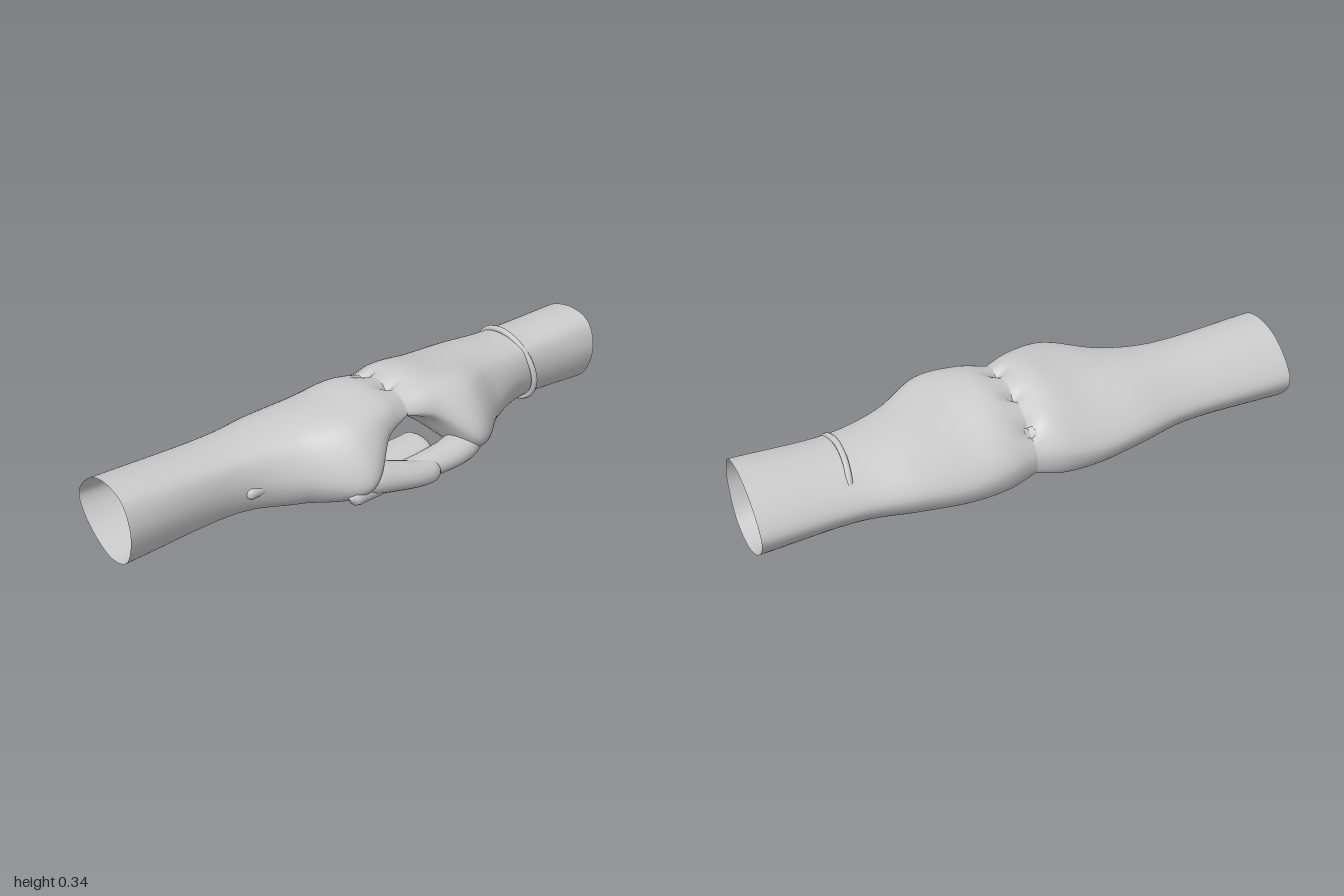
import * as THREE from 'three';

const MEET = 0.04; // x where the knuckles of both hands touch
const RING = 96, STEPS = 64;

// Cross-sections: distance from the knuckles, then eight [z, y] points
// (front, front top, top, back top, back, back bottom, bottom, front bottom)
const SECTIONS = [
  [0.00, [[.155, .26], [.12, .305], [.03, .325], [-.13, .29], [-.26, .17], [-.25, .09], [-.10, .19], [.08, .23]]],
  [0.10, [[.19, .235], [.165, .305], [.05, .34], [-.13, .31], [-.285, .16], [-.255, .06], [-.10, .13], [.11, .19]]],
  [0.24, [[.28, .13], [.18, .30], [.04, .325], [-.15, .285], [-.293, .14], [-.25, .05], [-.07, .07], [.18, .05]]],
  [0.42, [[.165, .14], [.10, .27], [0, .30], [-.15, .275], [-.28, .15], [-.23, .06], [-.07, .055], [.10, .04]]],
  [0.61, [[.09, .16], [.06, .255], [-.03, .285], [-.15, .26], [-.25, .15], [-.20, .07], [-.07, .04], [.05, .06]]],
  [1.00, [[.09, .17], [.055, .27], [-.03, .297], [-.15, .265], [-.25, .15], [-.20, .06], [-.07, .002], [.04, .04]]],
];
const NOTCHES = [-0.20, -0.085, 0.04]; // valleys between the knuckles

const skin = new THREE.MeshStandardMaterial({ color: 0xcccccc, roughness: 0.8, side: THREE.DoubleSide });

function mesh(name, geometry) {
  const m = new THREE.Mesh(geometry, skin);
  m.name = name;
  return m;
}

// Hollow forearm and hand, open at the elbow end
function armShell(side, length) {
  const columns = [];
  for (let k = 0; k < 8; k++) {
    columns.push(new THREE.CatmullRomCurve3(SECTIONS.map(([u, pts], i) =>
      new THREE.Vector3(i === SECTIONS.length - 1 ? length : u, pts[k][1], pts[k][0]))));
  }
  const pos = [], index = [];
  for (let i = 0; i <= STEPS; i++) {
    const loop = new THREE.CatmullRomCurve3(columns.map(c => c.getPoint(i / STEPS)), true);
    for (let j = 0; j < RING; j++) {
      const p = loop.getPoint(j / RING);
      // valleys between the knuckles
      const fade = Math.max(0, 1 - p.x / 0.08);
      if (j < RING / 2) {
        for (const z of NOTCHES) p.y -= 0.03 * fade * fade * Math.exp(-(((p.z - z) / 0.02) ** 2));
      }
      pos.push(MEET + side * p.x, p.y, p.z);
      if (i < STEPS) {
        const a = i * RING + j, b = i * RING + (j + 1) % RING;
        const c = a + RING, d = b + RING;
        if (side > 0) index.push(a, c, b, b, c, d);
        else index.push(a, b, c, b, d, c);
      }
    }
  }
  const g = new THREE.BufferGeometry();
  g.setAttribute('position', new THREE.Float32BufferAttribute(pos, 3));
  g.setIndex(index);
  g.computeVertexNormals();
  return g;
}

// Tapered tube with a rounded tip; "wide" broadens its root and "wideTip" its end in z
function digit(points, r0, r1, wide = 1, wideTip = 1) {
  const curve = new THREE.CatmullRomCurve3(points.map(p => new THREE.Vector3(...p)));
  const n = 40, sides = 20, length = curve.getLength();
  const g = new THREE.TubeGeometry(curve, n, 1, sides, false);
  const p = g.attributes.position, v = new THREE.Vector3();
  for (let i = 0; i <= n; i++) {
    const t = i / n, c = curve.getPointAt(t);
    const s = Math.max(0, 1 - (1 - t) * length / r1);
    const r = THREE.MathUtils.lerp(r0, r1, t) * Math.sqrt(Math.max(0, 1 - s * s));
    for (let j = 0; j <= sides; j++) {
      const k = i * (sides + 1) + j;
      v.fromBufferAttribute(p, k).sub(c).multiplyScalar(r);
      v.z *= THREE.MathUtils.lerp(wide, wideTip, t);
      v.add(c);
      p.setXYZ(k, v.x, v.y, v.z);
    }
  }
  g.computeVertexNormals();
  return g;
}

// Four fingers hooked into the other hand; each row is z, start height, reach, tip height
function fingers(rows, side) {
  const group = new THREE.Group();
  group.name = 'fingers';
  for (const [z, y, reach, tip] of rows) {
    const x = t => MEET - side * t;
    group.add(mesh('finger', digit([
      [x(-0.03), y, z], [x(0.07), y - 0.03, z],
      [x(reach * 0.65), tip + 0.06, z], [x(reach), tip, z],
    ], 0.042, 0.034)));
  }
  return group;
}

export function createModel() {
  const model = new THREE.Group();

  const leftHand = new THREE.Group();
  leftHand.name = 'leftHand';
  leftHand.add(mesh('leftArm', armShell(1, 0.96)));
  // this thumb passes underneath and its tip shows past the other thumb
  leftHand.add(mesh('leftThumb', digit(
    [[.36, .11, .12], [.24, .09, .205], [.08, .085, .225], [-.12, .085, .22], [-.27, .085, .235]], .055, .032, 1.5)));
  leftHand.add(fingers([
    [.045, .255, .40, .12], [-.022, .26, .42, .12], [-.10, .24, .40, .12], [-.185, .20, .34, .11],
  ], 1));
  // index fingertip showing beside the wrist
  leftHand.add(mesh('indexTip', digit([[-.42, .14, .07], [-.50, .148, .08], [-.575, .148, .085]], .026, .022)));

  const rightHand = new THREE.Group();
  rightHand.name = 'rightHand';
  rightHand.add(mesh('rightArm', armShell(-1, 1.04)));
  rightHand.add(mesh('rightThumb', digit(
    [[-.30, .12, .10], [-.18, .12, .20], [-.08, .10, .23], [.03, .08, .25], [.10, .075, .248]], .068, .041, 1.3)));
  // flat of the palm closing the space below the thumb opening
  rightHand.add(mesh('rightPalm', digit(
    [[-.30, .09, .08], [-.14, .095, .12], [.02, .10, .13], [.14, .105, .12]], .04, .03, 2.3, 2.3)));
  // these fingertips come through under the palm
  rightHand.add(fingers([
    [.045, .255, .48, .08], [-.022, .26, .47, .072], [-.10, .24, .41, .07], [-.185, .20, .33, .065],
  ], -1));

  // Thin slanted bracelet on the left wrist
  const loop = [];
  for (let i = 0; i < 24; i++) {
    const a = i / 24 * Math.PI * 2;
    loop.push(new THREE.Vector3(0.689 - 0.025 * Math.sin(a), 0.155 + 0.138 * Math.sin(a), -0.055 + 0.152 * Math.cos(a)));
  }
  const bracelet = mesh('bracelet', new THREE.TubeGeometry(new THREE.CatmullRomCurve3(loop, true), 72, 0.011, 8, true));

  model.add(leftHand, rightHand, bracelet);
  return model;
}
